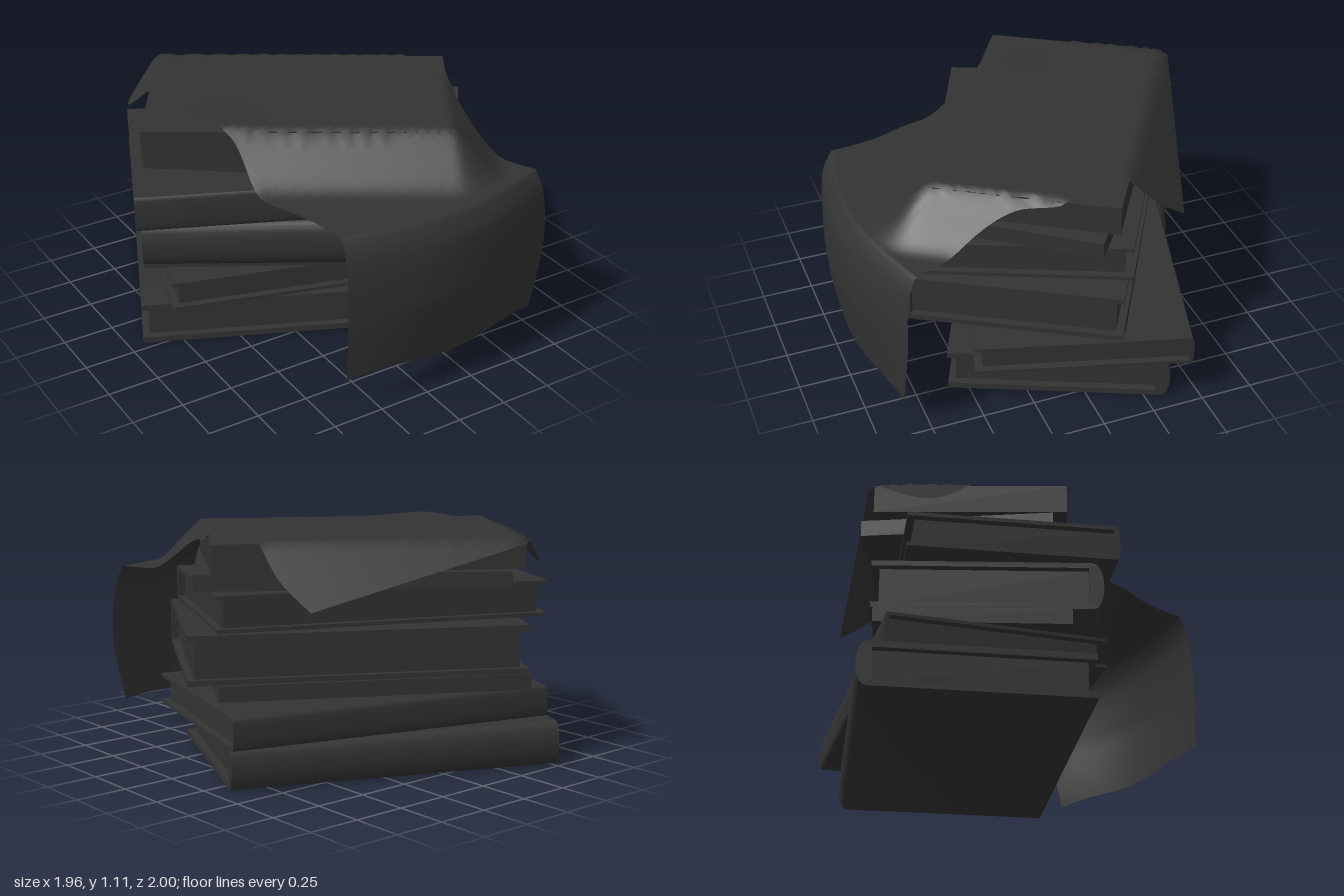
import * as THREE from 'three';
import { toCreasedNormals } from 'three/addons/utils/BufferGeometryUtils.js';

const material = new THREE.MeshStandardMaterial({ color: 0x333333 });
const clothMaterial = new THREE.MeshStandardMaterial({ color: 0x333333, side: THREE.DoubleSide });
const rad = THREE.MathUtils.degToRad;

// Hardcover book: a C-shaped cover wrapped round an inset page block.
// spine is 1 for a front (+z) spine, -1 for a back one; bulge rounds the spine.
function hardcover({ name, y, h, x, z, length, width, angle, spine, bulge, board }) {
  const group = new THREE.Group();
  group.name = name;
  const w = width / 2, inner = w - bulge - board * 0.6;
  const s = new THREE.Shape();
  s.moveTo(-w, 0);
  s.lineTo(w - bulge, 0);
  s.bezierCurveTo(w + bulge / 3, 0, w + bulge / 3, h, w - bulge, h);
  s.lineTo(-w, h);
  s.lineTo(-w, h - board);
  s.lineTo(inner, h - board);
  s.lineTo(inner, board);
  s.lineTo(-w, board);
  s.closePath();
  const geo = new THREE.ExtrudeGeometry(s, { depth: length, bevelEnabled: false, curveSegments: 10 });
  geo.translate(0, 0, -length / 2);
  geo.rotateY(-spine * Math.PI / 2);
  const cover = new THREE.Mesh(toCreasedNormals(geo, 0.6), material);
  cover.name = 'cover';

  const inset = 0.035;
  const depth = inner + w - inset;
  const pages = new THREE.Mesh(new THREE.BoxGeometry(length - inset * 2, h - board * 2, depth), material);
  pages.name = 'pages';
  pages.position.set(0, h / 2, spine * (inner - depth / 2));
  group.add(cover, pages);
  group.position.set(x, y, z);
  group.rotation.y = -rad(angle);
  return group;
}

// Plain bundle of paper
function bundle({ name, y, h, x, z, length, width, angle }) {
  const mesh = new THREE.Mesh(new THREE.BoxGeometry(length, h, width), material);
  mesh.name = name;
  mesh.position.set(x, y + h / 2, z);
  mesh.rotation.y = -rad(angle);
  return mesh;
}

const topBundle = { name: 'topBundle', y: 0.935, h: 0.138, x: 0, z: -0.125, length: 1.44, width: 0.88, angle: 32 };

// Distance of a point outside the footprint of the top bundle
function distanceOutside(x, z) {
  const a = rad(topBundle.angle), dx = x - topBundle.x, dz = z - topBundle.z;
  const u = Math.abs(dx * Math.cos(a) + dz * Math.sin(a)) - topBundle.length / 2;
  const v = Math.abs(-dx * Math.sin(a) + dz * Math.cos(a)) - topBundle.width / 2;
  return Math.hypot(Math.max(u, 0), Math.max(v, 0));
}

// Cloth draped over the top and hanging down the front
function cloth() {
  // Each row: right edge x, z; left edge x, z; forward bulge; height limit
  const rows = [
    [-0.36, -0.90, 0.62, -0.54, 0, 1.085],
    [-0.63, -0.72, 0.67, -0.38, 0, 1.085],
    [-0.61, -0.45, 0.67, -0.20, 0, 1.085],
    [-0.57, -0.05, 0.72, 0.08, 0, 1.085],
    [-0.50, 0.13, 0.64, 0.30, 0.01, 1.085],
    [-0.50, 0.40, 0.63, 0.48, 0.04, 1.085],
    [-0.42, 0.64, 0.66, 0.62, 0.07, 1.085],
    [-0.39, 0.86, 0.73, 0.79, 0.10, 0.86],
    [-0.39, 0.91, 0.75, 0.83, 0.11, 0.76],
    [-0.39, 0.93, 0.76, 0.85, 0.11, 0.49],
    [-0.39, 0.92, 0.69, 0.86, 0.06, 0.16],
  ];
  const curve = (f) => new THREE.CatmullRomCurve3(rows.map(f), false, 'centripetal');
  const rightEdge = curve((r) => new THREE.Vector3(r[0], r[5], r[1]));
  const leftEdge = curve((r) => new THREE.Vector3(r[2], r[5], r[3]));
  const nu = 32, nv = 70;
  const geo = new THREE.PlaneGeometry(1, 1, nu, nv);
  const pos = geo.attributes.position;
  for (let j = 0; j <= nv; j++) {
    const t = j / nv, p = rightEdge.getPoint(t), q = leftEdge.getPoint(t);
    const k = Math.min(Math.floor(t * (rows.length - 1)), rows.length - 2);
    const bulge = THREE.MathUtils.lerp(rows[k][4], rows[k + 1][4], t * (rows.length - 1) - k);
    for (let i = 0; i <= nu; i++) {
      const u = i / nu, m = p.clone().lerp(q, u);
      m.z += bulge * Math.sin(Math.PI * u);
      const d = distanceOutside(m.x, m.z);
      // Steep flaps at the back, a shelf at the front
      const drop = m.z > 0 ? 0.225 * THREE.MathUtils.smoothstep(d, -0.05, 0.26) : Math.min(1.2 * d, 0.3);
      const rest = m.z > 0 && d === 0 ? 0 : drop;
      const lift = 0.02 * Math.exp(-40 * (u * u + (m.z + 0.05) ** 2));
      const hem = t > 0.9 ? (t - 0.9) * 0.12 * Math.sin(u * 9) : 0;
      pos.setXYZ(j * (nu + 1) + i, m.x, Math.min(m.y, 1.085 - rest) + lift + hem, m.z);
    }
  }
  geo.computeVertexNormals();
  const mesh = new THREE.Mesh(geo, clothMaterial);
  mesh.name = 'drapedCloth';
  return mesh;
}

export function createModel() {
  const model = new THREE.Group();
  model.name = 'bookStack';
  // Stack from the bottom up
  model.add(
    hardcover({ name: 'bottomBook', y: 0, h: 0.21, x: 0, z: -0.205, length: 1.567, width: 1.045, angle: 24.1, spine: -1, bulge: 0.05, board: 0.03 }),
    hardcover({ name: 'secondBook', y: 0.215, h: 0.145, x: 0.08, z: -0.185, length: 1.58, width: 1.01, angle: 16.2, spine: -1, bulge: 0.012, board: 0.016 }),
    bundle({ name: 'lowerBundle', y: 0.36, h: 0.075, x: -0.01, z: -0.145, length: 1.46, width: 0.88, angle: 30 }),
    hardcover({ name: 'thickBook', y: 0.44, h: 0.23, x: 0.02, z: -0.045, length: 1.587, width: 1.036, angle: 30.4, spine: 1, bulge: 0.05, board: 0.025 }),
    hardcover({ name: 'upperBook', y: 0.68, h: 0.17, x: -0.06, z: -0.06, length: 1.585, width: 0.96, angle: 23.8, spine: 1, bulge: 0.012, board: 0.018 }),
    bundle({ name: 'upperBundle', y: 0.853, h: 0.079, x: 0.035, z: -0.105, length: 1.45, width: 0.88, angle: 36.9 }),
    bundle(topBundle),
    cloth(),
  );
  return model;
}
